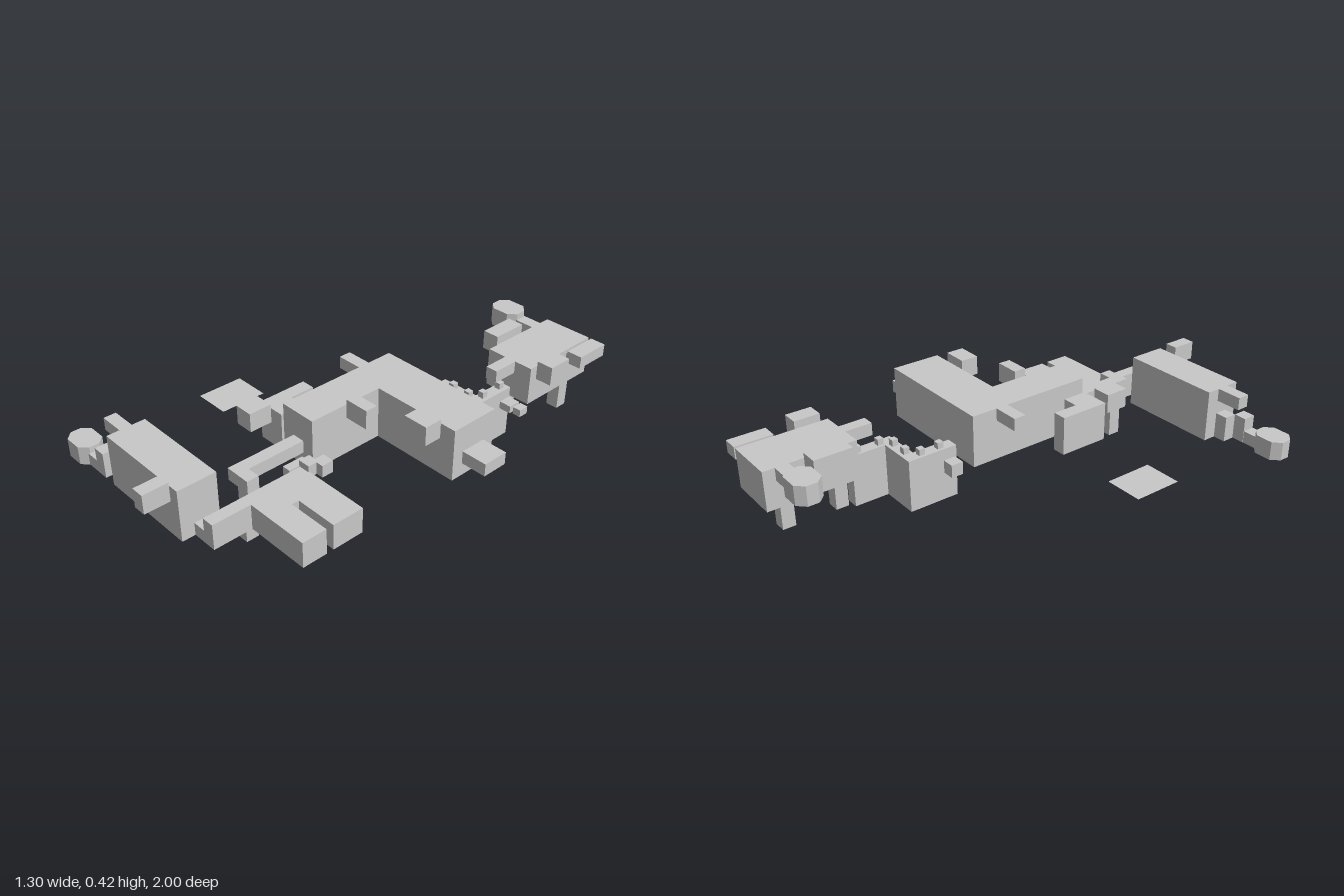
import * as THREE from 'three';

const grey = new THREE.MeshStandardMaterial({ color: 0xc8c8c8, flatShading: true });
grey.name = 'plain grey';
const greySheet = new THREE.MeshStandardMaterial({ color: 0xc8c8c8, side: THREE.DoubleSide });
greySheet.name = 'plain grey';

// Box given by its limits on each axis
function block(parent, name, x0, x1, y0, y1, z0, z1) {
  const mesh = new THREE.Mesh(new THREE.BoxGeometry(x1 - x0, y1 - y0, z1 - z0), grey);
  mesh.position.set((x0 + x1) / 2, (y0 + y1) / 2, (z0 + z1) / 2);
  mesh.name = name;
  parent.add(mesh);
}

// Upright prism from a plan outline of [x, z] points
function prism(parent, name, plan, y0, y1) {
  const shape = new THREE.Shape(plan.map(([x, z]) => new THREE.Vector2(x, -z)));
  const geo = new THREE.ExtrudeGeometry(shape, { depth: y1 - y0, bevelEnabled: false });
  geo.rotateX(-Math.PI / 2);
  const mesh = new THREE.Mesh(geo, grey);
  mesh.position.y = y0;
  mesh.name = name;
  parent.add(mesh);
}

// Rectangular plan with cut corners
function octagon(parent, name, x0, x1, y0, y1, z0, z1, c = 0.032) {
  prism(parent, name, [
    [x0 + c, z1], [x1 - c, z1], [x1, z1 - c], [x1, z0 + c],
    [x1 - c, z0], [x0 + c, z0], [x0, z0 + c], [x0, z1 - c],
  ], y0, y1);
}

function section(parent, name) {
  const g = new THREE.Group();
  g.name = name;
  parent.add(g);
  return g;
}

export function createModel() {
  const model = new THREE.Group();
  model.name = 'blockComplex';

  // Rear hall with side pods and three legs
  const rear = section(model, 'rearHall');
  block(rear, 'rearBody', 0.18, 0.4, 0.173, 0.34, -1, -0.617);
  block(rear, 'rearLeftLongPod', 0.412, 0.48, 0.287, 0.34, -1, -0.84);
  block(rear, 'rearLeftPod', 0.408, 0.48, 0.287, 0.368, -0.755, -0.645);
  block(rear, 'rearRightPod', 0.095, 0.168, 0.287, 0.368, -0.84, -0.68);
  block(rear, 'rearRightPodLink', 0.165, 0.182, 0.29, 0.32, -0.82, -0.7);
  block(rear, 'rearLeftLongPodLink', 0.398, 0.414, 0.295, 0.325, -0.9, -0.85);
  block(rear, 'rearLeftPodLink', 0.398, 0.41, 0.295, 0.325, -0.72, -0.68);
  octagon(rear, 'rearTurret', -0.045, 0.095, 0.287, 0.368, -0.975, -0.865);
  block(rear, 'rearTurretArm', 0.09, 0.182, 0.287, 0.34, -0.95, -0.895);
  for (const [x, z] of [[0.23, -0.688], [0.23, -0.912], [0.373, -0.857]])
    block(rear, 'rearLeg', x - 0.027, x + 0.027, 0.06, 0.175, z - 0.027, z + 0.027);
  block(rear, 'rearCorridor', 0.265, 0.318, 0.287, 0.34, -0.62, -0.502);

  // Stepped wall with studs along its top
  const wall = section(model, 'steppedWall');
  prism(wall, 'wallBody', [
    [0.095, -0.23], [0.148, -0.23], [0.148, -0.397], [0.318, -0.397],
    [0.318, -0.6], [0.265, -0.6], [0.265, -0.45], [0.095, -0.45],
  ], 0, 0.225);
  for (const [x, z] of [[0.12, -0.295], [0.12, -0.38], [0.165, -0.422], [0.247, -0.422], [0.288, -0.463], [0.288, -0.565]])
    block(wall, 'wallStud', x - 0.013, x + 0.013, 0.22, 0.252, z - 0.013, z + 0.013);
  block(wall, 'wallLeftStep', 0.318, 0.372, 0.148, 0.18, -0.598, -0.542);
  block(wall, 'wallLeftBlock', 0.382, 0.418, 0.148, 0.18, -0.595, -0.55);
  block(wall, 'wallRightBlock', 0.042, 0.096, 0.12, 0.175, -0.29, -0.237);

  // Large L-shaped hall with side pods
  const hall = section(model, 'mainHall');
  prism(hall, 'hallBody', [
    [-0.016, 0.325], [0.148, 0.325], [0.148, -0.01], [0.54, -0.01], [0.54, -0.225], [-0.016, -0.225],
  ], 0.172, 0.392);
  block(hall, 'hallRightArm', -0.127, -0.014, 0.34, 0.392, -0.113, -0.06);
  block(hall, 'hallLeftArm', 0.538, 0.65, 0.227, 0.28, -0.172, -0.06);
  block(hall, 'hallFrontPod', 0.375, 0.482, 0.34, 0.42, 0.003, 0.08);
  block(hall, 'hallInnerPod', 0.157, 0.262, 0.34, 0.42, 0.11, 0.163);
  prism(hall, 'hallRightAnnex', [
    [-0.155, 0.325], [-0.03, 0.325], [-0.03, 0.218], [-0.097, 0.218], [-0.097, 0.11], [-0.155, 0.11],
  ], 0.172, 0.335);
  block(hall, 'annexLink', -0.032, -0.014, 0.23, 0.29, 0.25, 0.3);
  block(hall, 'annexPod', -0.155, -0.075, 0.285, 0.365, 0.338, 0.437);

  // Corridor to the forked block, with its post
  const corridor = section(model, 'frontCorridor');
  block(corridor, 'corridorTube', 0.04, 0.095, 0.227, 0.28, 0.32, 0.632);
  block(corridor, 'corridorTurn', 0.095, 0.152, 0.12, 0.28, 0.58, 0.632);
  block(corridor, 'corridorPost', 0.085, 0.138, 0, 0.12, 0.585, 0.64);
  block(corridor, 'corridorSideBlock', 0.11, 0.147, 0.172, 0.227, 0.345, 0.437);
  block(corridor, 'smallStep', 0.18, 0.232, 0.2, 0.252, 0.3, 0.352);
  block(corridor, 'smallStepLink', 0.147, 0.2, 0.2, 0.252, 0.342, 0.39);

  // Forked block with a slot and a long spine
  prism(model, 'forkedBlock', [
    [0.152, 0.827], [0.205, 0.827], [0.205, 0.66], [0.482, 0.66], [0.482, 0.553], [0.3, 0.553],
    [0.3, 0.522], [0.482, 0.522], [0.482, 0.385], [0.152, 0.385],
  ], 0.116, 0.225);

  // Front hall with stepped arm and turret
  const front = section(model, 'frontHall');
  block(front, 'frontBody', -0.35, 0.095, 0.116, 0.337, 0.718, 0.883);
  block(front, 'frontBodyLink', 0.093, 0.154, 0.116, 0.17, 0.775, 0.827);
  block(front, 'frontPod', 0.012, 0.067, 0.285, 0.365, 0.893, 1);
  block(front, 'frontUpperArm', -0.46, -0.348, 0.283, 0.337, 0.775, 0.828);
  block(front, 'frontLowerArm', -0.405, -0.348, 0.116, 0.225, 0.775, 0.828);
  block(front, 'frontArmElbow', -0.46, -0.405, 0.116, 0.225, 0.828, 0.883);
  block(front, 'frontTurretArm', -0.525, -0.458, 0.116, 0.168, 0.83, 0.883);
  octagon(front, 'frontTurret', -0.655, -0.516, 0.116, 0.196, 0.802, 0.91);

  // Thin detached pad
  const pad = new THREE.Mesh(new THREE.PlaneGeometry(0.163, 0.207), greySheet);
  pad.rotation.x = -Math.PI / 2;
  pad.position.set(-0.489, 0.165, 0.223);
  pad.name = 'landingPad';
  model.add(pad);

  return model;
}
